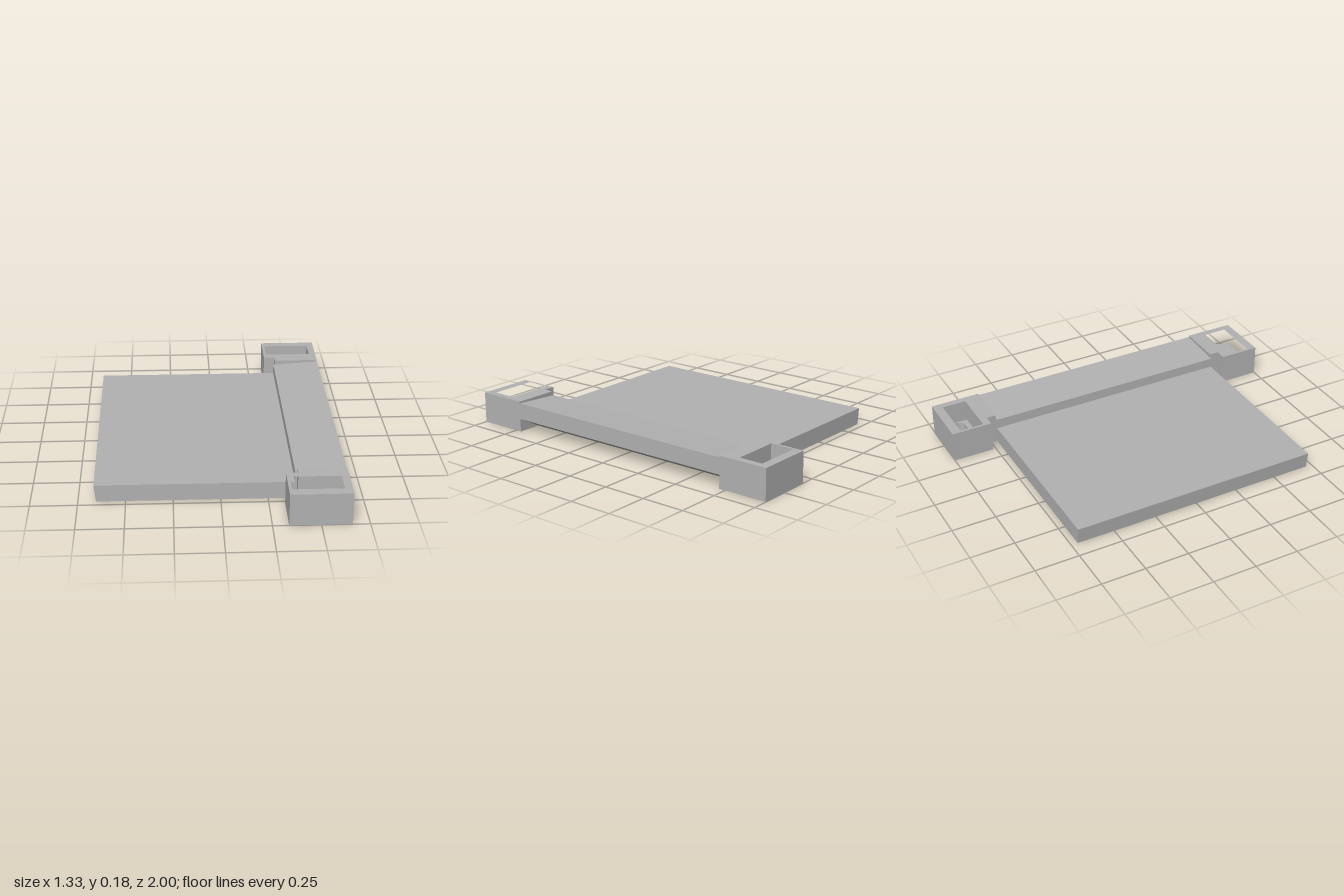
import * as THREE from 'three';

// Extrude an (x, z) outline upward from y0 to y1
function slab(points, hole, y0, y1) {
  const shape = new THREE.Shape(points.map(([x, z]) => new THREE.Vector2(x, -z)));
  shape.holes.push(hole);
  const geometry = new THREE.ExtrudeGeometry(shape, { depth: y1 - y0, bevelEnabled: false, curveSegments: 10 });
  return geometry.rotateX(-Math.PI / 2).translate(0, y0, 0);
}

export function createModel() {
  const group = new THREE.Group();
  const grey = new THREE.MeshStandardMaterial({ color: 0xb2b2b2 });
  grey.name = 'plainGrey';

  const add = (name, geometry, parent) => {
    const mesh = new THREE.Mesh(geometry, grey);
    mesh.name = name;
    parent.add(mesh);
  };

  // Flat plate and raised cross bar share one side profile
  const half = 0.713;
  const profile = new THREE.Shape([
    [-0.655, 0], [0.52, 0], [0.66, 0.075], [0.66, 0.168],
    [0.39, 0.152], [0.39, 0.095], [-0.665, 0.095],
  ].map(([x, y]) => new THREE.Vector2(x, y)));
  add('plateAndBar', new THREE.ExtrudeGeometry(profile, { depth: half * 2, bevelEnabled: false })
    .translate(0, 0, -half), group);

  // Mounting blocks: open pocket above a floor with a rounded slot
  const floorTop = 0.05;
  for (const side of [1, -1]) {
    const block = new THREE.Group();
    block.name = side > 0 ? 'frontMountingBlock' : 'backMountingBlock';
    const outline = [
      [0.4, half], [0.66, half], [0.66, 1], [0.335, 1], [0.335, 0.767], [0.4, 0.767],
    ].map(([x, z]) => [x, z * side]);

    const zc = -0.88 * side, r = 0.042;
    const slot = new THREE.Path();
    slot.absarc(0.572, zc, r, -Math.PI / 2, Math.PI / 2);
    slot.absarc(0.48, zc, r, Math.PI / 2, Math.PI * 1.5);
    slot.closePath();

    const pocket = new THREE.Path([
      [0.35, 0.81], [0.62, 0.81], [0.62, 0.948], [0.35, 0.948],
    ].map(([x, z]) => new THREE.Vector2(x, -z * side)));

    add('slottedFloor', slab(outline, slot, 0, floorTop), block);
    add('pocketWalls', slab(outline, pocket, floorTop, 0.178), block);
    group.add(block);
  }
  return group;
}
